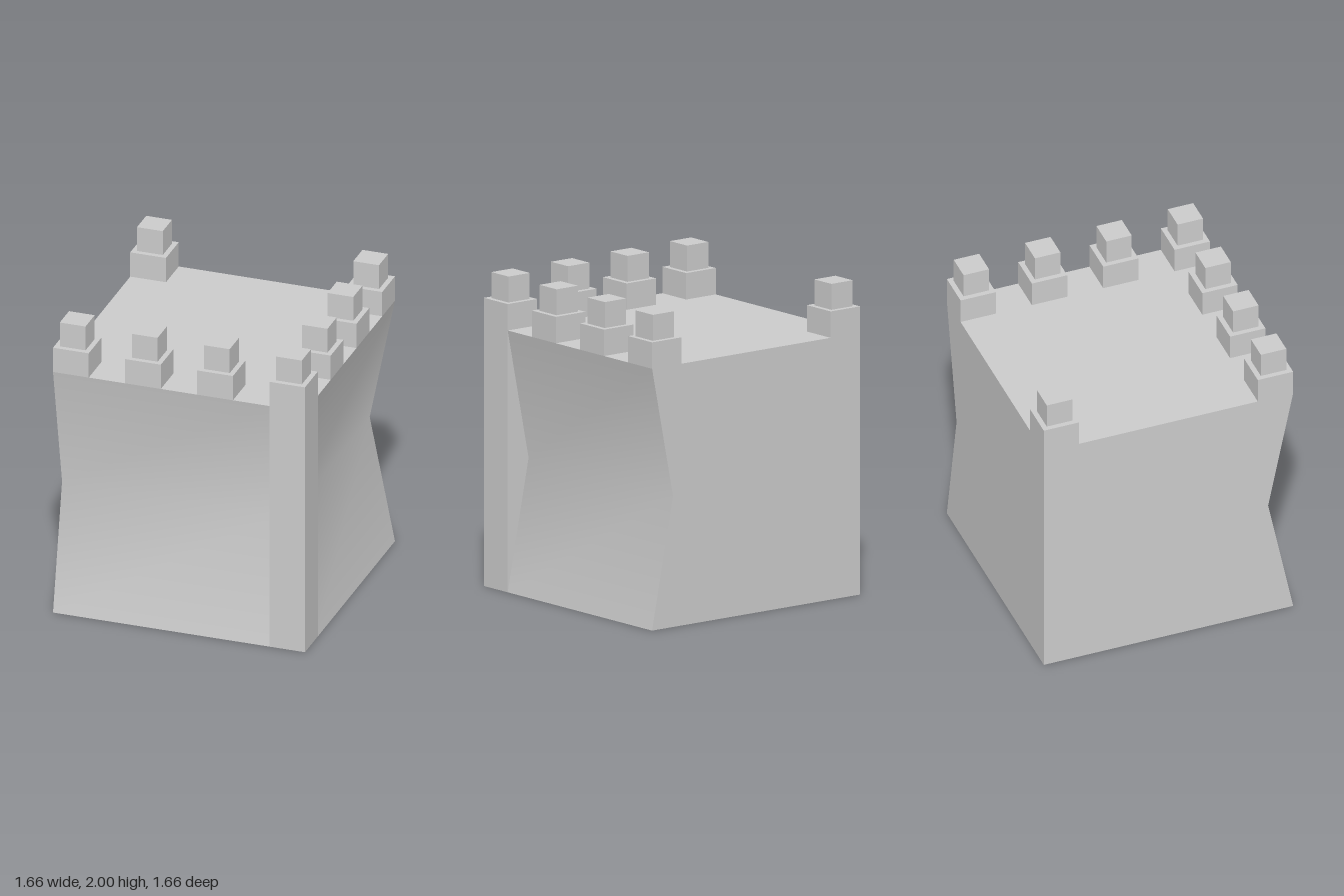
import * as THREE from 'three';

const HALF = 0.832;      // half width of the tower
const HEIGHT = 1.667;    // height of the roof
const POST = 0.596;      // inner edge of the corner post
const DENT = 0.167;      // how far the two pinched walls fold inwards
const BASE = HALF - POST; // width of a battlement

const material = new THREE.MeshStandardMaterial({ color: 0xcccccc });

// Outline of the tower at one level, counterclockwise from above
function outline(d) {
  const h = HALF, p = POST;
  return [[-h, -h], [-h, h - d], [p, h - d], [p, h], [h, h], [h, p], [h - d, p], [h - d, -h]];
}

// Each wall is smooth from bottom to top, with hard edges between walls
function wallGeometry() {
  const levels = [[0, 0], [HEIGHT / 2, DENT], [HEIGHT, 0]];
  const positions = [], index = [];
  const count = outline(0).length;
  for (let side = 0; side < count; side++) {
    const start = positions.length / 3;
    levels.forEach(([y, d], i) => {
      const ring = outline(d);
      const a = ring[side], b = ring[(side + 1) % count];
      positions.push(a[0], y, a[1], b[0], y, b[1]);
      if (i > 0) {
        const k = start + 2 * (i - 1);
        index.push(k, k + 1, k + 3, k, k + 3, k + 2);
      }
    });
  }
  const geometry = new THREE.BufferGeometry();
  geometry.setAttribute('position', new THREE.Float32BufferAttribute(positions, 3));
  geometry.setIndex(index);
  geometry.computeVertexNormals();
  return geometry;
}

function addMesh(parent, name, geometry, x = 0, y = 0, z = 0) {
  const mesh = new THREE.Mesh(geometry, material);
  mesh.name = name;
  mesh.position.set(x, y, z);
  parent.add(mesh);
  return mesh;
}

export function createModel() {
  const model = new THREE.Group();
  model.name = 'castleTower';

  // Tower body: pinched front and left walls, straight post between them
  addMesh(model, 'walls', wallGeometry());
  const cap = new THREE.PlaneGeometry(2 * HALF, 2 * HALF);
  addMesh(model, 'roof', cap, 0, HEIGHT).rotation.x = -Math.PI / 2;
  addMesh(model, 'underside', cap).rotation.x = Math.PI / 2;

  // Stepped battlements along two edges and on the far corner
  const lower = new THREE.BoxGeometry(BASE, 0.168, BASE);
  const upper = new THREE.BoxGeometry(0.17, 0.165, 0.17);
  const edge = HALF - BASE / 2;
  const spots = [-edge, -edge / 3, edge / 3, edge];
  for (const x of spots) {
    for (const z of spots) {
      const farCorner = x === -edge && z === -edge;
      if (x !== edge && z !== edge && !farCorner) continue;
      const battlement = new THREE.Group();
      battlement.name = 'battlement';
      battlement.position.set(x, HEIGHT, z);
      addMesh(battlement, 'lowerBlock', lower, 0, 0.084, 0);
      addMesh(battlement, 'upperBlock', upper, 0, 0.2505, 0);
      model.add(battlement);
    }
  }
  return model;
}
